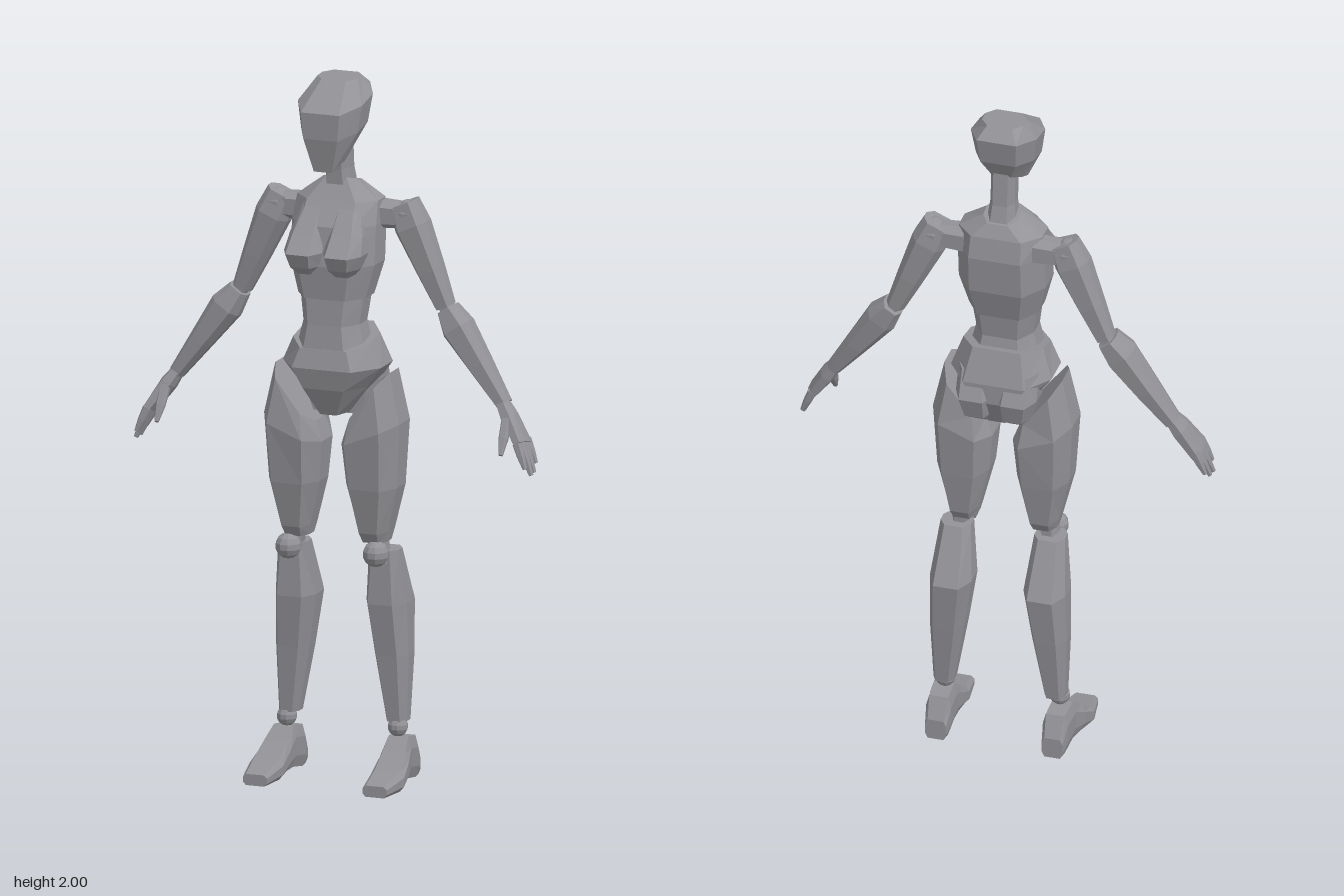
import * as THREE from 'three';

// Eight-sided loft. Rings run from high to low:
// [y, centreX, halfWidth, zFront, zBack, slopeAlongZ, slopeAlongX]
function loft(rings, chamfer = 0.4) {
  const sections = rings.map(([y, cx, w, zf, zb, sz = 0, sx = 0]) => {
    const k = 1 - chamfer, m = (zf + zb) / 2, d = (zf - zb) / 2;
    return [[k, 1], [1, k * 0.6], [1, -k * 0.6], [k, -1], [-k, -1], [-1, -k * 0.6], [-1, k * 0.6], [-k, 1]]
      .map(([u, v]) => [cx + u * w, y + sz * (m + v * d) + sx * u * w, m + v * d]);
  });
  const pos = [];
  const tri = (...p) => p.forEach((q) => pos.push(...q));
  const centre = (s) => [0, 1, 2].map((i) => s.reduce((t, p) => t + p[i], 0) / 8);
  const first = sections[0], last = sections[sections.length - 1];
  for (let j = 0; j < 8; j++) {
    const n = (j + 1) % 8;
    for (let i = 0; i < sections.length - 1; i++) {
      const a = sections[i][j], b = sections[i][n], c = sections[i + 1][j], d = sections[i + 1][n];
      tri(a, c, b);
      tri(b, c, d);
    }
    tri(centre(first), first[j], first[n]);
    tri(centre(last), last[n], last[j]);
  }
  const g = new THREE.BufferGeometry();
  g.setAttribute('position', new THREE.Float32BufferAttribute(pos, 3));
  return g;
}

// Loft laid along the line from a to b; ring heights are fractions of its length
function limb(a, b, rings, chamfer) {
  const A = new THREE.Vector3(...a), D = new THREE.Vector3(...b).sub(A);
  const len = D.length();
  const g = loft(rings.map(([t, ...r]) => [-t * len, ...r]), chamfer);
  g.applyQuaternion(new THREE.Quaternion().setFromUnitVectors(new THREE.Vector3(0, -1, 0), D.normalize()));
  return g.translate(...a);
}

function ball(r, x, y, z) {
  return new THREE.SphereGeometry(r, 10, 7).toNonIndexed().translate(x, y, z);
}

// Mirrored copy with the corner order turned round
function mirrored(geo) {
  const p = geo.getAttribute('position'), out = [];
  for (let i = 0; i < p.count; i += 3) {
    for (const k of [i, i + 2, i + 1]) out.push(-p.getX(k), p.getY(k), p.getZ(k));
  }
  const g = new THREE.BufferGeometry();
  g.setAttribute('position', new THREE.Float32BufferAttribute(out, 3));
  return g;
}

export function createModel() {
  const model = new THREE.Group();
  const grey = new THREE.MeshStandardMaterial({ color: 0x929297 });
  grey.name = 'grey';

  const add = (name, geo) => {
    geo.computeVertexNormals();
    const mesh = new THREE.Mesh(geo, grey);
    mesh.name = name;
    model.add(mesh);
  };
  const pair = (name, geo) => {
    add(name + 'Right', mirrored(geo));
    add(name + 'Left', geo);
  };

  // Head and neck
  add('head', loft([
    [1.995, 0, 0.06, 0.02, -0.075, -0.05],
    [1.945, 0, 0.095, 0.122, -0.108, -0.2],
    [1.87, 0, 0.084, 0.12, -0.092, -0.2],
    [1.80, 0, 0.045, 0.10, -0.06, -0.5],
  ]));
  add('neck', loft([
    [1.84, 0, 0.035, 0.025, -0.065],
    [1.74, 0, 0.035, 0.015, -0.075],
    [1.65, 0, 0.045, 0.01, -0.1],
  ]));

  // Trunk
  add('chest', loft([
    [1.715, 0, 0.05, 0.0, -0.095, 0.25],
    [1.655, 0, 0.12, 0.04, -0.115],
    [1.59, 0, 0.125, 0.085, -0.128],
    [1.48, 0, 0.125, 0.10, -0.12],
    [1.385, 0, 0.1, 0.09, -0.09],
  ]));
  pair('bust', loft([
    [1.64, 0.05, 0.035, 0.05, 0],
    [1.57, 0.057, 0.05, 0.108, 0],
    [1.52, 0.058, 0.056, 0.152, 0],
    [1.48, 0.056, 0.045, 0.135, 0],
    [1.455, 0.055, 0.028, 0.10, 0],
  ]));
  add('abdomen', loft([
    [1.39, 0, 0.094, 0.085, -0.085],
    [1.31, 0, 0.083, 0.09, -0.075],
    [1.24, 0, 0.1, 0.1, -0.09],
  ]));
  add('pelvis', loft([
    [1.265, 0, 0.115, 0.10, -0.105, -0.2],
    [1.19, 0, 0.145, 0.115, -0.14],
    [1.13, 0, 0.1, 0.1, -0.14],
    [1.05, 0, 0.04, 0.06, -0.1],
  ]));
  pair('buttock', loft([
    [1.22, 0.065, 0.05, 0, -0.12],
    [1.14, 0.06, 0.056, 0, -0.158],
    [1.08, 0.055, 0.045, 0, -0.14],
    [1.045, 0.05, 0.03, 0, -0.09],
  ]));

  // Legs
  pair('thigh', loft([
    [1.10, 0.11, 0.06, 0.09, -0.1, 0, 1.3],
    [1.0, 0.115, 0.086, 0.105, -0.115, 0, 0.4],
    [0.85, 0.115, 0.075, 0.085, -0.1],
    [0.72, 0.115, 0.044, 0.055, -0.08],
    [0.69, 0.115, 0.037, 0.035, -0.06],
  ]));
  pair('knee', ball(0.037, 0.13, 0.66, 0.032));
  pair('kneeLink', loft([
    [0.71, 0.12, 0.025, 0.03, -0.045],
    [0.63, 0.132, 0.025, 0.03, -0.045],
  ]));
  pair('shin', loft([
    [0.665, 0.135, 0.044, 0.01, -0.07],
    [0.51, 0.135, 0.06, 0.015, -0.148],
    [0.36, 0.147, 0.05, -0.005, -0.128],
    [0.17, 0.16, 0.03, -0.025, -0.1],
  ]));
  pair('ankle', ball(0.029, 0.165, 0.155, -0.045));
  // Foot, lofted from toe to heel then laid flat
  pair('foot', loft([
    [0.16, 0.178, 0.036, 0, -0.032],
    [0.07, 0.18, 0.05, 0, -0.055],
    [0.01, 0.176, 0.045, -0.012, -0.095],
    [-0.035, 0.171, 0.038, -0.012, -0.13],
    [-0.10, 0.168, 0.036, 0, -0.12],
    [-0.132, 0.168, 0.03, 0, -0.06],
  ], 0.25).rotateX(Math.PI / 2));

  // Arms
  pair('shoulder', ball(0.044, 0.197, 1.612, -0.055));
  pair('shoulderLink', limb([0.1, 1.61, -0.055], [0.2, 1.61, -0.055], [
    [0, 0, 0.04, 0.04, -0.04], [1, 0, 0.035, 0.035, -0.035],
  ]));
  pair('upperArm', limb([0.18, 1.645, -0.055], [0.302, 1.36, -0.06], [
    [0, 0, 0.043, 0.035, -0.035],
    [0.22, 0, 0.05, 0.048, -0.045],
    [0.65, 0, 0.038, 0.04, -0.04],
    [1, 0, 0.027, 0.03, -0.03],
  ]));
  pair('elbow', limb([0.293, 1.38, -0.06], [0.33, 1.315, -0.058], [
    [0, 0, 0.021, 0.025, -0.025], [1, 0, 0.021, 0.025, -0.025],
  ]));
  pair('forearm', limb([0.309, 1.355, -0.06], [0.487, 1.105, -0.035], [
    [0, 0, 0.03, 0.04, -0.038],
    [0.2, 0, 0.045, 0.052, -0.042],
    [0.6, 0, 0.033, 0.042, -0.038],
    [1, 0, 0.021, 0.03, -0.028],
  ]));

  // Hands
  pair('palm', limb([0.48, 1.115, -0.032], [0.553, 1.005, -0.005], [
    [0, 0, 0.017, 0.024, -0.024],
    [0.35, 0, 0.022, 0.034, -0.034],
    [1, 0, 0.016, 0.043, -0.043],
  ]));
  [[0.578, 0.945, 0.042], [0.588, 0.923, 0.02], [0.586, 0.925, -0.006], [0.58, 0.945, -0.034]].forEach((tip, i) => {
    pair('finger' + (i + 1), limb([0.55, 1.012, 0.029 - i * 0.0225], tip, [
      [0, 0, 0.013, 0.011, -0.011], [0.5, 0, 0.011, 0.01, -0.01], [1, 0, 0.006, 0.006, -0.006],
    ]));
  });
  pair('thumb', limb([0.508, 1.07, 0.0], [0.512, 0.982, 0.058], [
    [0, 0, 0.014, 0.018, -0.016], [0.55, 0, 0.013, 0.014, -0.012], [1, 0, 0.006, 0.006, -0.006],
  ]));

  return model;
}
